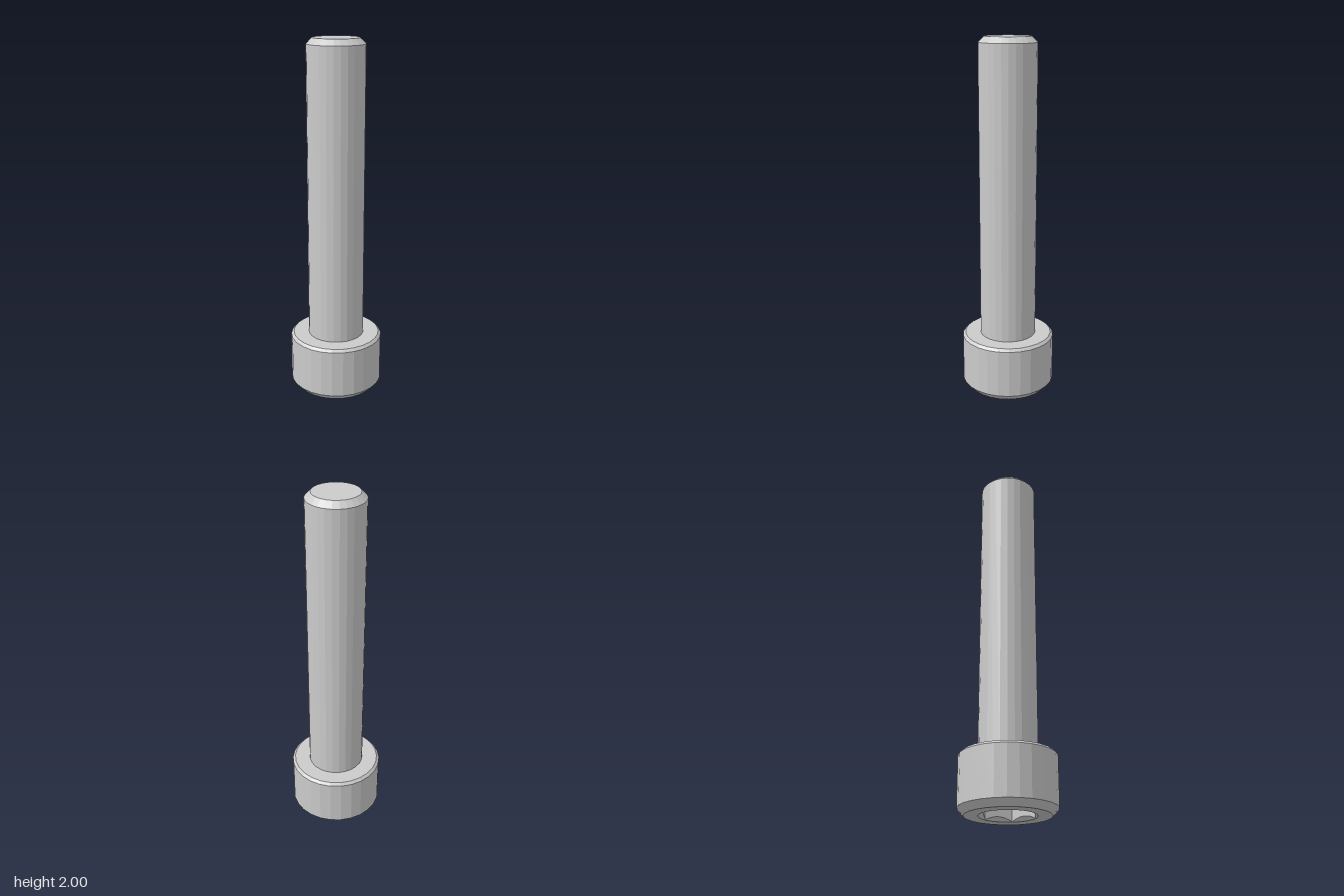
import * as THREE from 'three';

const SIDES = 26;
const SOCKET_RIM = 0.153, HEX_CORNER = 0.151, SOCKET_DEPTH = 0.16;

// Radius of a regular n-sided polygon in direction a, first corner at a = start
function polygonRadius(a, n, corner, start = 0) {
  const step = (2 * Math.PI) / n;
  const rel = (((a - start) % step) + step) % step;
  return (corner * Math.cos(step / 2)) / Math.cos(rel - step / 2);
}

// Hexagonal recess: conical lead-in, six straight walls, flat floor
function socketGeometry() {
  const n = SIDES * 6;
  const positions = [];
  const rings = (i) => {
    const a = ((i % n) / n) * 2 * Math.PI;
    const rim = polygonRadius(a, SIDES, SOCKET_RIM);
    const hex = polygonRadius(a, 6, HEX_CORNER, Math.PI / 6);
    return [[rim, 0], [hex, Math.max(SOCKET_RIM - hex, 0)], [hex, SOCKET_DEPTH], [0, SOCKET_DEPTH]]
      .map(([r, y]) => [r * Math.sin(a), y, r * Math.cos(a)]);
  };
  for (let i = 0; i < n; i++) {
    const p = rings(i), q = rings(i + 1);
    for (let j = 0; j < 3; j++) {
      positions.push(...p[j], ...p[j + 1], ...q[j]);
      if (j < 2) positions.push(...q[j], ...p[j + 1], ...q[j + 1]);
    }
  }
  const geometry = new THREE.BufferGeometry();
  geometry.setAttribute('position', new THREE.Float32BufferAttribute(positions, 3));
  geometry.computeVertexNormals();
  return geometry;
}

// Faceted turned part from [radius, height] pairs, bottom to top
function turned(profile) {
  const points = profile.map(([r, y]) => new THREE.Vector2(r, y));
  const geometry = new THREE.LatheGeometry(points, SIDES).toNonIndexed();
  geometry.computeVertexNormals();
  return geometry;
}

export function createModel() {
  const group = new THREE.Group();
  const material = new THREE.MeshStandardMaterial({ color: 0xcccccc, flatShading: true });
  const add = (name, geometry) => {
    const mesh = new THREE.Mesh(geometry, material);
    mesh.name = name;
    group.add(mesh);
  };

  // Cap head, chamfered at both ends, open at the bottom for the socket
  add('head', turned([[SOCKET_RIM, 0], [0.228, 0], [0.262, 0.037], [0.262, 0.308], [0.247, 0.323], [0.159, 0.323]]));
  add('hexSocket', socketGeometry());
  // Plain shank with a chamfered tip
  add('shank', turned([[0.159, 0.323], [0.159, 1.968], [0.127, 2], [0, 2]]));

  return group;
}
